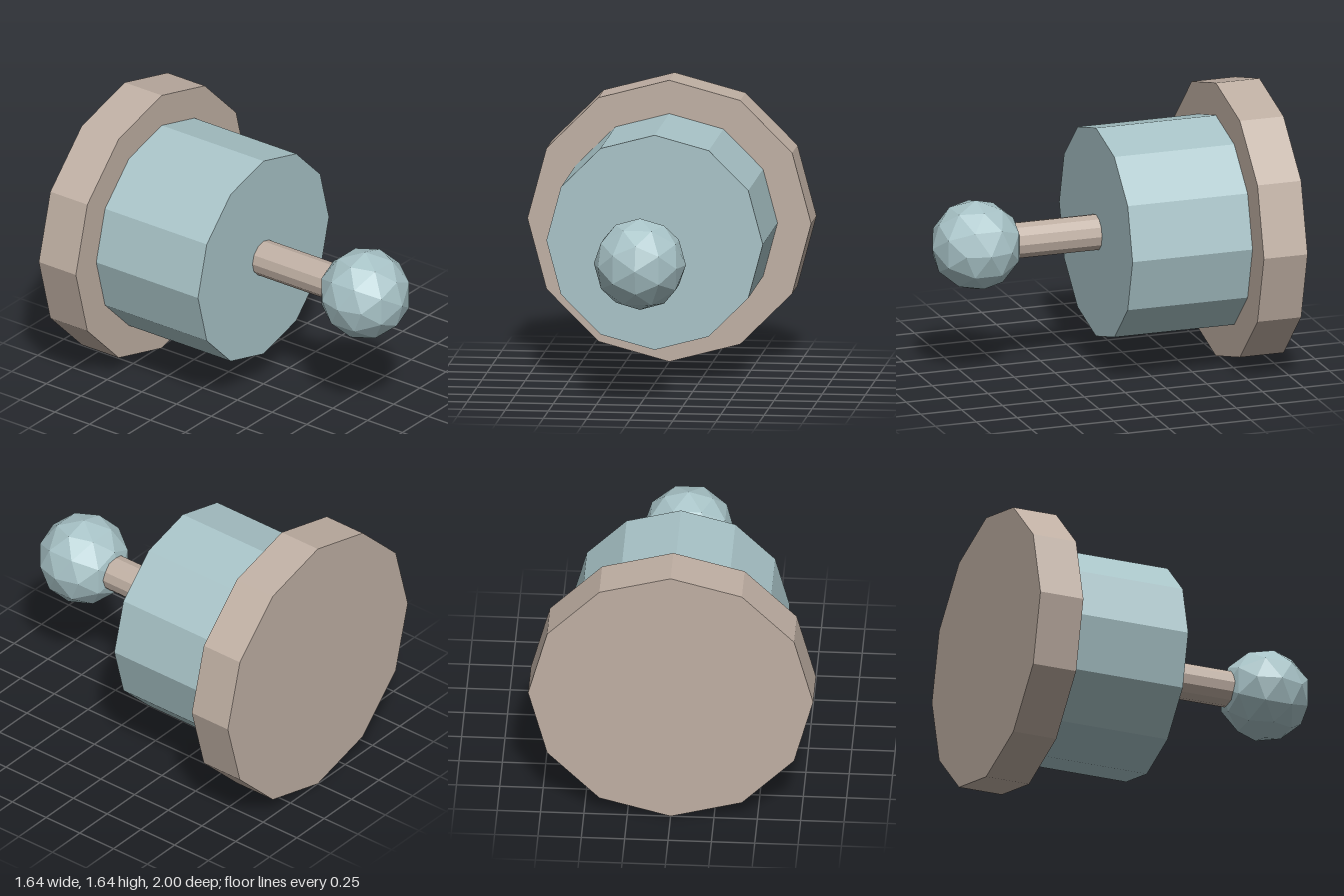
import * as THREE from 'three';

export function createModel() {
  const model = new THREE.Group();
  const paleTeal = new THREE.MeshStandardMaterial({ color: 0xa8c3c7, flatShading: true });
  paleTeal.name = 'paleTeal';
  const warmTaupe = new THREE.MeshStandardMaterial({ color: 0xbfafa3, flatShading: true });
  warmTaupe.name = 'warmTaupe';

  const axisY = 0.823; // height of the shared axis

  // Twelve-sided cylinder lying along z between two depths
  function addCylinder(name, radius, zBack, zFront, material) {
    const geometry = new THREE.CylinderGeometry(radius, radius, zFront - zBack, 12);
    geometry.rotateX(Math.PI / 2);
    const mesh = new THREE.Mesh(geometry, material);
    mesh.name = name;
    mesh.position.set(0, axisY, (zBack + zFront) / 2);
    model.add(mesh);
  }

  addCylinder('backFlange', 0.822, -1, -0.733, warmTaupe);
  addCylinder('drum', 0.627, -0.733, 0, paleTeal);
  addCylinder('rod', 0.106, 0, 0.6, warmTaupe);

  // Faceted ball at the tip of the rod
  const ball = new THREE.Mesh(new THREE.IcosahedronGeometry(0.267, 1), paleTeal);
  ball.name = 'ballKnob';
  ball.position.set(0, axisY, 0.733);
  model.add(ball);

  return model;
}
